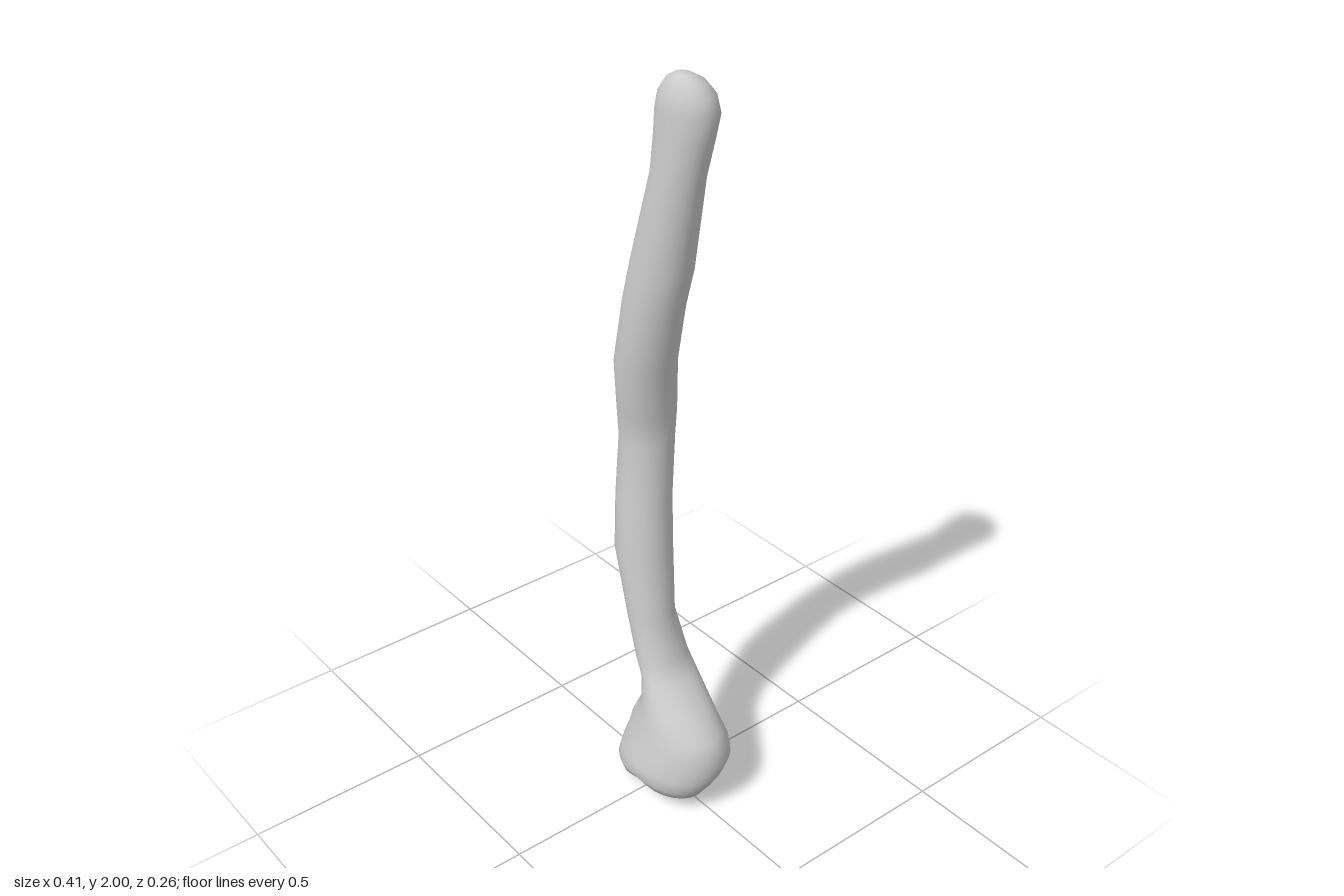
import * as THREE from 'three';
import { mergeVertices } from 'three/addons/utils/BufferGeometryUtils.js';

const SIDES = 28;

// Cross-sections from bottom to top: [y, xMin, xMax, zMin, zMax]
const knuckleRings = [
  [0, 0.02, 0.02, 0, 0],
  [0, -0.03, 0.06, -0.015, 0.025],
  [0, -0.07, 0.1, -0.03, 0.05],
  [0.012, -0.105, 0.135, -0.045, 0.085],
  [0.035, -0.13, 0.16, -0.065, 0.115],
  [0.07, -0.138, 0.18, -0.09, 0.13],
  [0.11, -0.135, 0.195, -0.117, 0.125],
  [0.15, -0.125, 0.203, -0.132, 0.115],
  [0.19, -0.115, 0.2, -0.122, 0.105],
  [0.23, -0.095, 0.185, -0.105, 0.095],
  [0.28, -0.067, 0.13, -0.098, 0.085],
];
const shaftRings = [
  [0.35, -0.072, 0.05, -0.095, 0.065],
  [0.4, -0.1, 0.02, -0.088, 0.06],
  [0.52, -0.145, -0.018, -0.075, 0.055],
  [0.7, -0.195, -0.035, -0.09, 0.06],
  [0.85, -0.205, -0.053, -0.1, 0.045],
  [1.02, -0.205, -0.06, -0.113, 0.03],
  [1.1, -0.2, -0.053, -0.115, 0.04],
  [1.25, -0.185, -0.03, -0.1, 0.06],
  [1.42, -0.157, 0.008, -0.095, 0.053],
  [1.52, -0.132, 0.037, -0.095, 0.05],
  [1.76, -0.067, 0.075, -0.09, 0.032],
];
const headRings = [
  [1.85, -0.065, 0.097, -0.097, 0.025],
  [1.91, -0.063, 0.106, -0.107, 0.025],
  [1.95, -0.053, 0.097, -0.098, 0.02],
  [1.98, -0.03, 0.073, -0.075, 0.005],
  [1.995, -0.003, 0.045, -0.048, -0.01],
  [2, 0.02, 0.02, -0.025, -0.025],
];

// Skin the rings into one continuous smooth surface
function loft(rings, reshape) {
  const positions = [], index = [];
  rings.forEach(([y, x0, x1, z0, z1], i) => {
    for (let j = 0; j < SIDES; j++) {
      const a = (j / SIDES) * Math.PI * 2;
      const p = new THREE.Vector3(
        (x0 + x1) / 2 + ((x1 - x0) / 2) * Math.cos(a),
        y,
        (z0 + z1) / 2 + ((z1 - z0) / 2) * Math.sin(a)
      );
      reshape(p);
      positions.push(p.x, p.y, p.z);
      if (i === rings.length - 1) continue;
      const k = (j + 1) % SIDES, lo = i * SIDES, hi = lo + SIDES;
      index.push(lo + j, hi + j, lo + k, lo + k, hi + j, hi + k);
    }
  });
  const geometry = new THREE.BufferGeometry();
  geometry.setAttribute('position', new THREE.Float32BufferAttribute(positions, 3));
  geometry.setIndex(index);
  const merged = mergeVertices(geometry, 1e-5);
  merged.computeVertexNormals();
  return merged;
}

// Groove between the two condyles, with the +x one slightly higher
function carveCondyles(p) {
  const fade = Math.max(0, 1 - p.y / 0.12);
  const groove = 0.035 * Math.exp(-(((p.x - 0.015) / 0.045) ** 2));
  const raise = 0.018 * THREE.MathUtils.smoothstep(p.x, 0, 0.1);
  p.y += fade * (groove + raise);
}

export function createModel() {
  const group = new THREE.Group();
  group.name = 'longBone';
  const material = new THREE.MeshStandardMaterial({ color: 0xcccccc });
  const bone = new THREE.Mesh(
    loft([...knuckleRings, ...shaftRings, ...headRings], carveCondyles),
    material
  );
  bone.name = 'boneShaftWithKnuckle';
  group.add(bone);
  return group;
}
